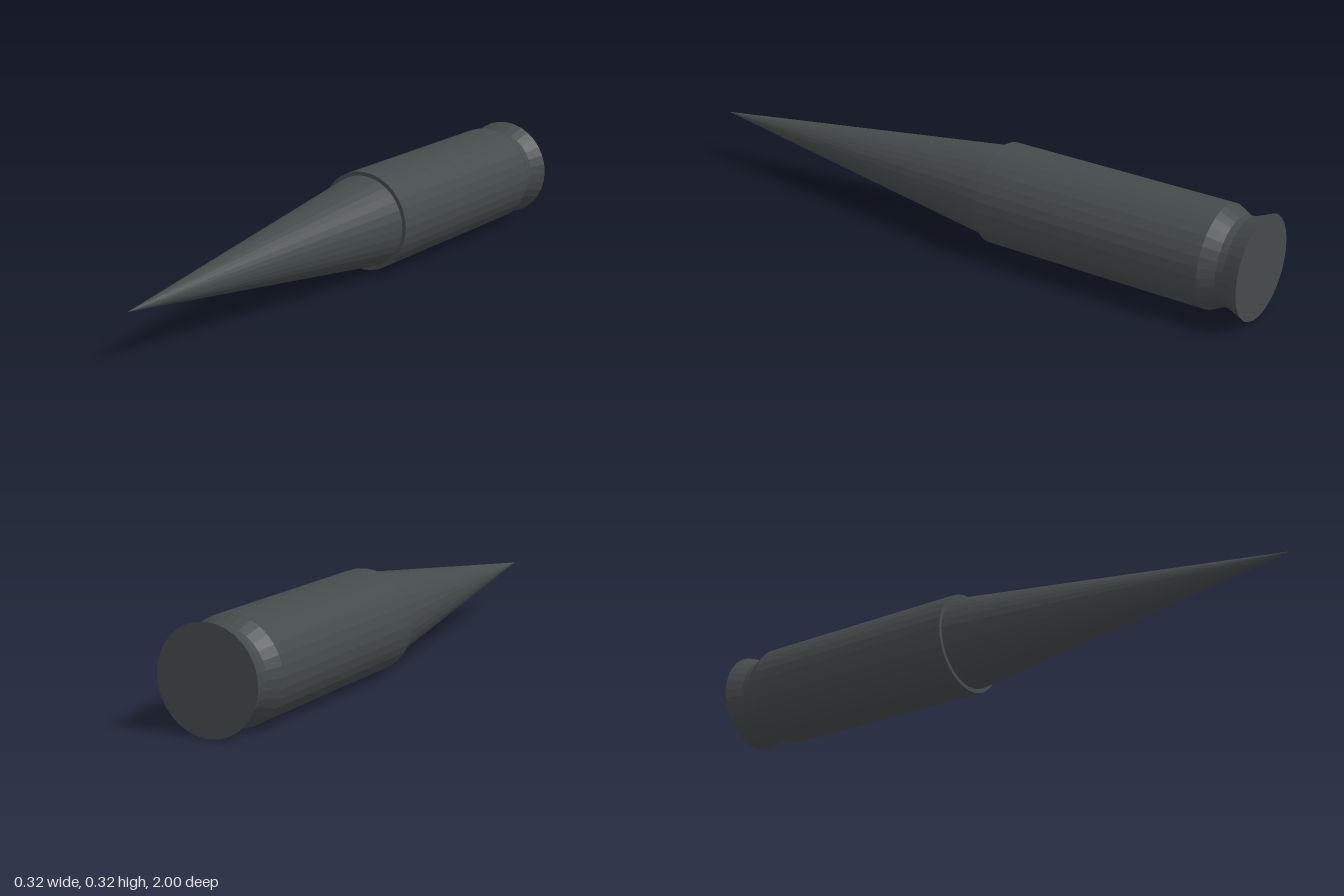
import * as THREE from 'three';

const SIDES = 32;
const RADIUS = 0.161;

export function createModel() {
  const model = new THREE.Group();
  model.name = 'cartridge';
  const gunmetal = new THREE.MeshStandardMaterial({ color: 0x454a4b, flatShading: true });
  gunmetal.name = 'dark gunmetal';

  // Turned part: profile of [radius, z] pairs from back to front, laid along z
  const turned = (name, profile) => {
    const points = profile.map(([r, z]) => new THREE.Vector2(r, z));
    const geometry = new THREE.LatheGeometry(points, SIDES);
    geometry.rotateX(Math.PI / 2);
    geometry.translate(0, RADIUS, 0);
    const mesh = new THREE.Mesh(geometry, gunmetal);
    mesh.name = name;
    model.add(mesh);
  };

  // Casing: flat base, flared rim, extraction groove, straight body and front lip
  turned('casing', [
    [0, -1], [RADIUS, -1], [0.138, -0.945], [0.138, -0.922],
    [RADIUS, -0.875], [RADIUS, -0.12], [0, -0.12],
  ]);

  // Long pointed tip seated inside the casing mouth
  turned('pointedTip', [[0.148, -0.12], [0, 1]]);

  return model;
}
